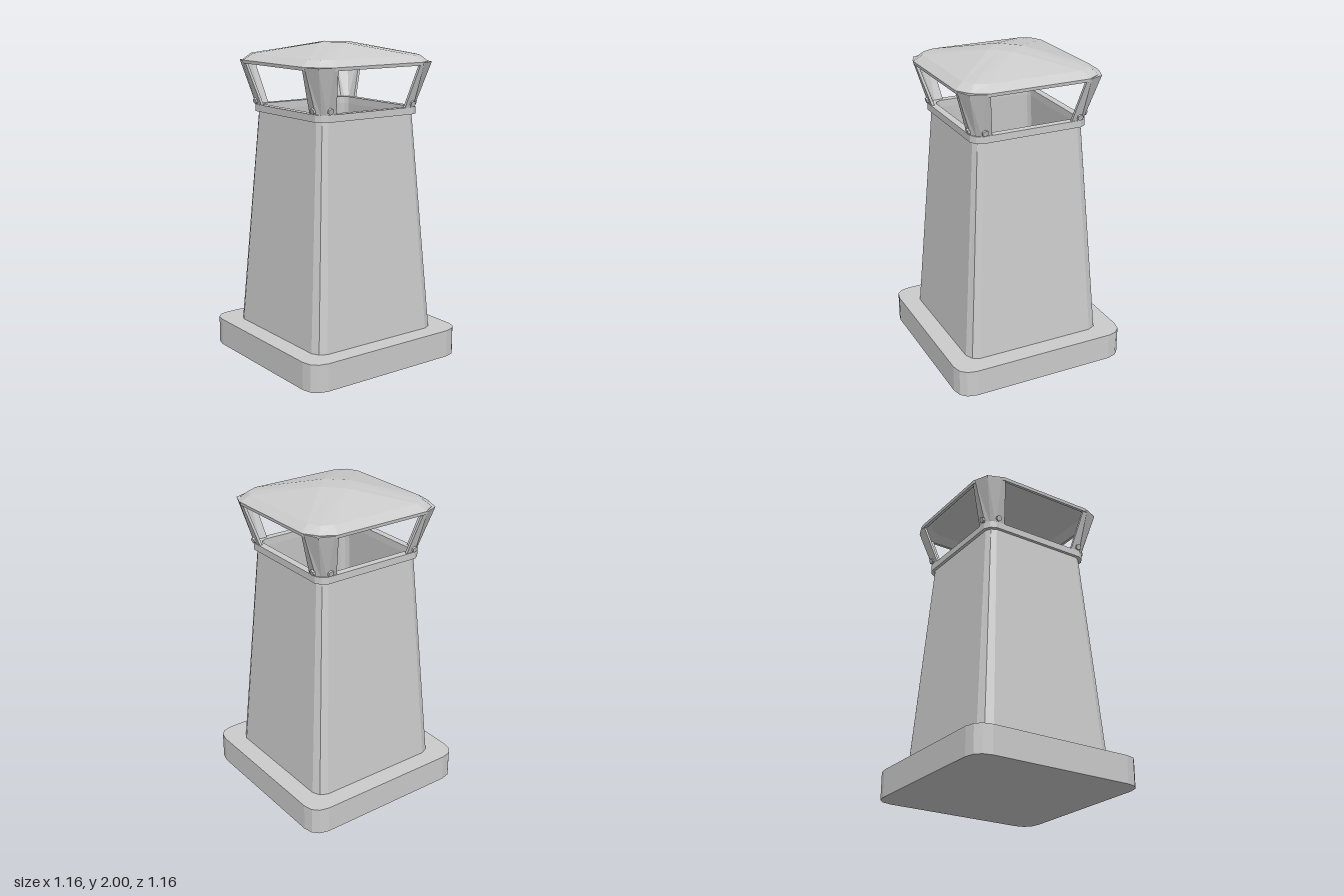
import * as THREE from 'three';

const material = new THREE.MeshStandardMaterial({ color: 0xcccccc, flatShading: true });

// Square ring with cut corners: one corner's [x, z] points, turned four times.
function ring(y, corner) {
  const pts = [];
  for (let k = 0; k < 4; k++) {
    for (const [px, pz] of corner) {
      let x = px, z = pz;
      for (let i = 0; i < k; i++) [x, z] = [z, -x];
      pts.push(new THREE.Vector3(x, y, z));
    }
  }
  return pts;
}

// h: half width, a: where the straight side ends, c: diagonal corner point
const cut = (h, a, c) => [[a, h], [c, c], [h, a]];

// Skin between consecutive rings; ends are closed with a fan, or joined up.
function loft(rings, joined = false) {
  const pos = [];
  const tri = (a, b, c) => {
    const area = b.clone().sub(a).cross(c.clone().sub(a)).length();
    if (area > 1e-9) for (const p of [a, b, c]) pos.push(p.x, p.y, p.z);
  };
  const n = rings[0].length;
  const last = rings.length - 1;
  for (let i = 0; i < rings.length - (joined ? 0 : 1); i++) {
    const r = rings[i], s = rings[(i + 1) % rings.length];
    for (let j = 0; j < n; j++) {
      const k = (j + 1) % n;
      tri(r[j], r[k], s[k]);
      tri(r[j], s[k], s[j]);
    }
  }
  if (!joined) {
    for (const [r, flip] of [[rings[0], true], [rings[last], false]]) {
      const mid = r.reduce((m, p) => m.add(p), new THREE.Vector3()).divideScalar(n);
      for (let j = 0; j < n; j++) {
        const k = (j + 1) % n;
        if (flip) tri(mid, r[k], r[j]);
        else tri(mid, r[j], r[k]);
      }
    }
  }
  const geo = new THREE.BufferGeometry();
  geo.setAttribute('position', new THREE.Float32BufferAttribute(pos, 3));
  geo.computeVertexNormals();
  return geo;
}

export function createModel() {
  const model = new THREE.Group();
  model.name = 'chimney';
  const add = (name, geo, parent = model) => {
    const mesh = new THREE.Mesh(geo, material);
    mesh.name = name;
    parent.add(mesh);
    return mesh;
  };

  // Plinth with rounded corners
  const plinth = [[0.47, 0.58], [0.53, 0.565], [0.565, 0.53], [0.58, 0.47]];
  add('base', loft([ring(0, plinth), ring(0.175, plinth)]));

  // Tapered hollow shaft with a floor inside
  add('shaft', loft([
    ring(0.17, cut(0.46, 0.39, 0.437)),
    ring(1.58, cut(0.36, 0.31, 0.342)),
    ring(1.58, cut(0.335, 0.295, 0.32)),
    ring(0.19, cut(0.43, 0.37, 0.41)),
  ]));

  // Collar around the top of the shaft
  const outer = cut(0.381, 0.325, 0.36), inner = cut(0.335, 0.295, 0.32);
  add('collar', loft([
    ring(1.563, outer), ring(1.607, outer), ring(1.607, inner), ring(1.563, inner),
  ], true));

  // Flared corner posts: a thin four-point section swept round the corner
  const t = 0.018;
  const stations = (edge, h, a, c) => [[edge, h], [a, h], [c, c], [h, a], [h, edge]];
  const lowOut = stations(0.26, 0.371, 0.325, 0.35);
  const lowIn = stations(0.26, 0.371 - t, 0.318, 0.35 - t);
  const topOut = stations(0.312, 0.463, 0.34, 0.428);
  const topIn = stations(0.312, 0.463 - t, 0.333, 0.428 - t);
  const v = ([x, z], y) => new THREE.Vector3(x, y, z);
  const postGeo = loft(lowOut.map((p, i) => [
    v(topOut[i], 1.885), v(p, 1.59), v(lowIn[i], 1.59), v(topIn[i], 1.885),
  ]));

  // Hexagonal bolt heads at the foot of the posts
  const boltGeo = new THREE.CylinderGeometry(0.02, 0.02, 0.02, 6);
  for (let k = 0; k < 4; k++) {
    const side = new THREE.Group();
    side.name = 'postAndBolts';
    side.rotation.y = k * Math.PI / 2;
    add('cornerPost', postGeo, side);
    for (const s of [-1, 1]) {
      const bolt = add('bolt', boltGeo, side);
      bolt.position.set(s * 0.313, 1.63, 0.385);
      bolt.rotation.x = Math.PI / 2 + 0.3;
    }
    model.add(side);
  }

  // Hollow pyramid cap, from the inner peak down to the rim and up the outside
  add('cap', loft([
    ring(1.98, cut(0.11, 0, 0.055)),
    ring(1.91, cut(0.4, 0.295, 0.365)),
    ring(1.868, cut(0.445, 0.315, 0.398)),
    ring(1.868, cut(0.463, 0.325, 0.41)),
    ring(1.888, cut(0.466, 0.325, 0.412)),
    ring(1.927, cut(0.41, 0.3, 0.375)),
    ring(2, cut(0.11, 0, 0.055)),
  ]));

  return model;
}
